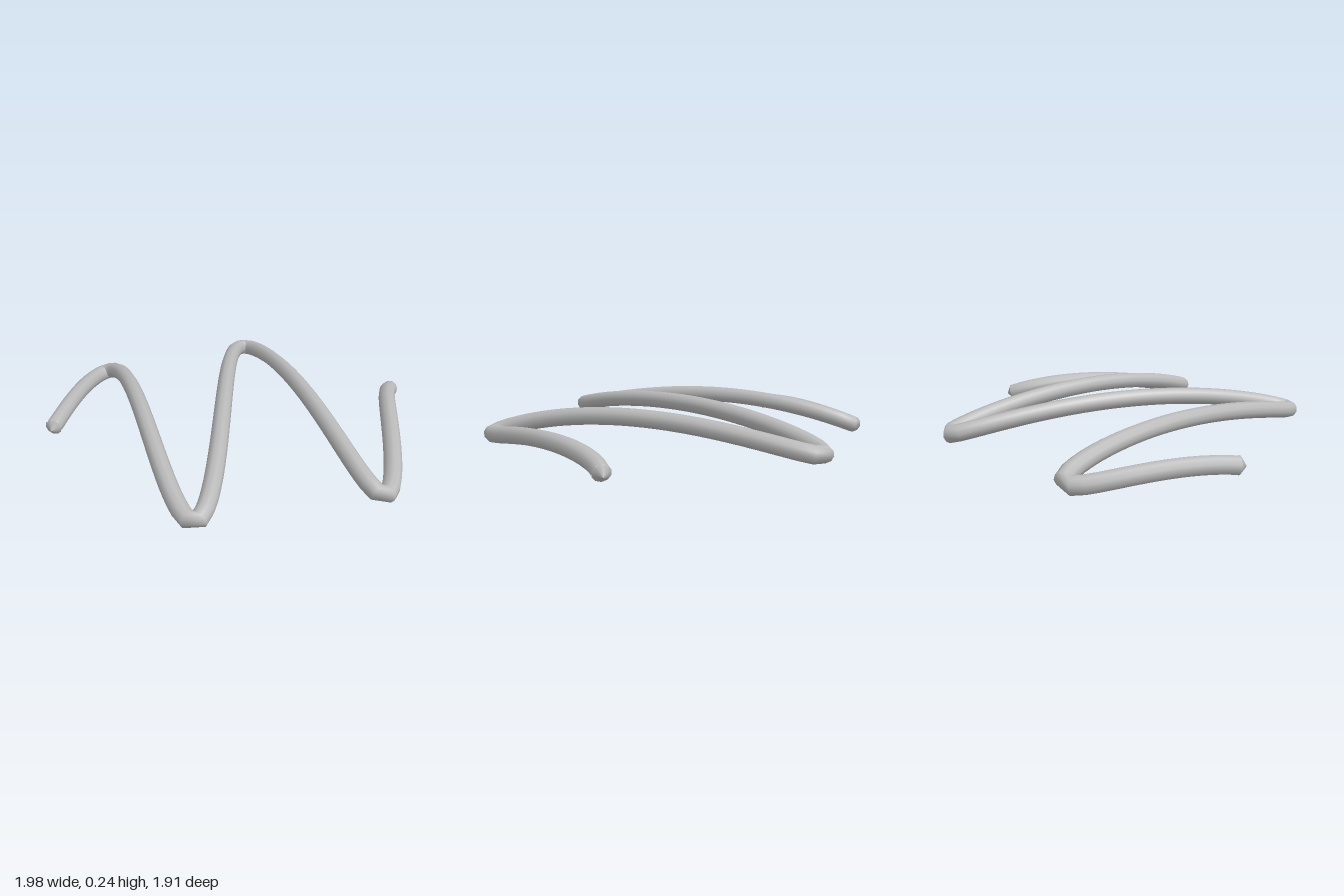
import * as THREE from 'three';

const RADIUS = 0.045;
const X_START = -0.953, X_END = 0.952;

// Zigzag wave that narrows toward both ends and drapes over a shallow dome
class SquiggleCurve extends THREE.Curve {
  getPoint(t, target = new THREE.Vector3()) {
    const x = X_START + (X_END - X_START) * t;
    const u = x * x;
    const amplitude = 0.94 - 0.3 * u - 0.3 * u * u;
    const z = -amplitude * Math.sin(Math.PI * (x + 0.047) / 0.45);
    const y = 0.205 - 0.05 * u - 0.085 * u * u - (0.13 + 0.14 * u) * z * z;
    return target.set(x, y, z);
  }
}

export function createModel() {
  const group = new THREE.Group();
  group.name = 'squiggle';

  const grey = new THREE.MeshStandardMaterial({ color: 0xbababa });
  grey.name = 'light grey';

  const curve = new SquiggleCurve();
  curve.arcLengthDivisions = 800;

  // Wavy rod
  const rod = new THREE.Mesh(new THREE.TubeGeometry(curve, 128, RADIUS, 10, false), grey);
  rod.name = 'wavyRod';
  group.add(rod);

  // Short pointed cap on each end
  const capHeight = 0.036;
  for (const [name, t, sign] of [['startCap', 0, -1], ['endCap', 1, 1]]) {
    const direction = curve.getTangentAt(t).multiplyScalar(sign);
    const cap = new THREE.Mesh(new THREE.ConeGeometry(RADIUS, capHeight, 10, 1), grey);
    cap.name = name;
    cap.position.copy(curve.getPointAt(t)).addScaledVector(direction, capHeight / 2);
    cap.quaternion.setFromUnitVectors(new THREE.Vector3(0, 1, 0), direction);
    group.add(cap);
  }

  return group;
}
